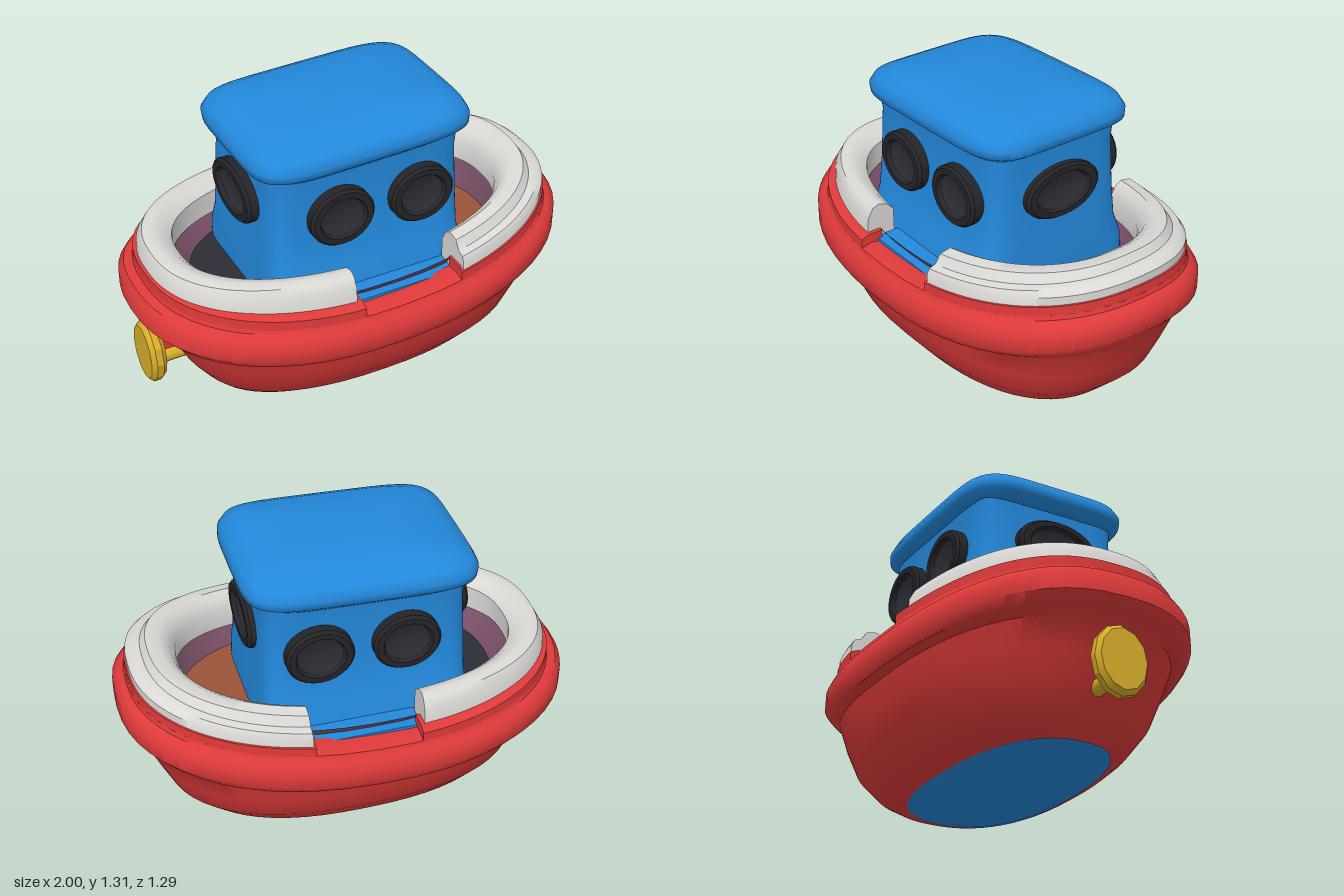
import * as THREE from 'three';
import { toCreasedNormals } from 'three/addons/utils/BufferGeometryUtils.js';

const mat = (name, color, side = THREE.FrontSide) => {
  const m = new THREE.MeshStandardMaterial({ color, side });
  m.name = name;
  return m;
};

// Lofts superellipse rings [back, front, halfWidth, y, sheer]. With an arc, only the
// bow (end 1) or stern (end -1) part beyond |x| = xEnd is built.
function loft(rings, { n = 2.4, segs = 56, end = 0, xEnd = 0, closed = false, crease = 0.7 } = {}) {
  const pos = [], idx = [], R = rings.length;
  for (const [back, front, half, y, sheer = 0] of rings) {
    const reach = end > 0 ? front : back;
    const span = end ? Math.acos(Math.pow(xEnd / (reach || 1), n / 2)) : Math.PI;
    const mid = end < 0 ? Math.PI : 0;
    for (let j = 0; j <= segs; j++) {
      const t = mid + span * (2 * j / segs - 1);
      const c = Math.cos(t), s = Math.sin(t);
      const x = Math.sign(c) * Math.pow(Math.abs(c), 2 / n) * (c > 0 ? front : back);
      const z = Math.sign(s) * Math.pow(Math.abs(s), 2 / n) * half;
      pos.push(x, y + sheer * (0.1 * x * x + 0.04 * x), z);
    }
  }
  const at = (i, j) => (i % R) * (segs + 1) + j;
  for (let i = 0; i < (closed ? R : R - 1); i++) {
    for (let j = 0; j < segs; j++) {
      const a = at(i, j), b = at(i, j + 1), c = at(i + 1, j + 1), d = at(i + 1, j);
      idx.push(a, d, b, b, d, c);
    }
  }
  // Flat ends of a closed arc
  if (closed) {
    for (let i = 1; i < R - 1; i++) {
      idx.push(at(0, 0), at(i + 1, 0), at(i, 0));
      idx.push(at(0, segs), at(i, segs), at(i + 1, segs));
    }
  }
  const g = new THREE.BufferGeometry();
  g.setAttribute('position', new THREE.Float32BufferAttribute(pos, 3));
  g.setIndex(idx);
  return toCreasedNormals(g, crease);
}

export function createModel() {
  const boat = new THREE.Group();
  boat.name = 'tugboat';
  const red = mat('hull red', 0xdf3a3a);
  const blue = mat('cabin blue', 0x2389dc);
  const white = mat('bulwark white', 0xdad9d6);
  const glass = mat('window dark grey', 0x2d2d35);
  const rim = mat('window rim black', 0x252529);
  const yellow = mat('propeller yellow', 0xd9ae2a);
  const brown = mat('deck brown', 0x9c5439, THREE.DoubleSide);
  const mauve = mat('inner wall mauve', 0x7a5068, THREE.DoubleSide);
  const add = (name, geometry, material, x = 0, y = 0, z = 0, parent = boat) => {
    const mesh = new THREE.Mesh(geometry, material);
    mesh.name = name;
    mesh.position.set(x, y, z);
    parent.add(mesh);
    return mesh;
  };

  // Hull with its bulging rub rail and inward rim
  add('hull', loft([
    [0.64, 0.5, 0.3, 0.012], [0.67, 0.6, 0.36, 0.04], [0.72, 0.71, 0.43, 0.1],
    [0.79, 0.81, 0.51, 0.2], [0.84, 0.87, 0.555, 0.31, 0.2], [0.9, 0.93, 0.58, 0.4, 0.6],
    [0.965, 0.965, 0.625, 0.41, 0.9], [1, 1, 0.647, 0.445, 0.9], [1, 1, 0.645, 0.51, 1],
    [0.975, 0.975, 0.627, 0.55, 1], [0.935, 0.95, 0.612, 0.565, 1], [0.93, 0.945, 0.605, 0.585, 1],
    [0.88, 0.9, 0.56, 0.597, 1], [0.8, 0.78, 0.5, 0.59, 1],
  ]), red);
  add('bottom', loft([[0, 0, 0, 0], [0.61, 0.44, 0.27, 0], [0.66, 0.52, 0.315, 0.017]]), blue);

  // Sunken deck
  add('innerWall', loft([[0.8, 0.76, 0.5, 0.64, 0.6], [0.69, 0.71, 0.42, 0.52]]), mauve);
  add('bowDeck', loft([[0.7, 0.71, 0.42, 0.52], [0, 0, 0, 0.52]], { end: 1 }), brown);
  add('sternDeck', loft([[0.69, 0.7, 0.42, 0.52], [0, 0, 0, 0.52]], { end: -1 }), glass);
  add('boardingSill', new THREE.BoxGeometry(0.5, 0.1, 1.03), blue, 0.04, 0.552);

  // Red coamings under the white bulwarks, bow and stern
  const coaming = [
    [0.93, 0.945, 0.606, 0.55, 1], [0.93, 0.942, 0.604, 0.625, 1], [0.89, 0.9, 0.57, 0.64, 1],
    [0.8, 0.8, 0.5, 0.64, 1], [0.8, 0.8, 0.5, 0.55, 1],
  ];
  add('bowCoaming', loft(coaming, { end: 1, xEnd: 0.27, closed: true }), red);
  add('sternCoaming', loft(coaming, { end: -1, xEnd: 0.19, closed: true }), red);
  add('bowBulwark', loft([
    [0, 0.935, 0.6, 0.57, 1], [0, 0.935, 0.597, 0.665, 1], [0, 0.91, 0.585, 0.69, 1],
    [0, 0.87, 0.555, 0.7, 1], [0, 0.845, 0.53, 0.74, 1], [0, 0.79, 0.48, 0.75, 1],
    [0, 0.75, 0.45, 0.73, 1], [0, 0.72, 0.425, 0.68, 1], [0, 0.72, 0.425, 0.59, 1],
  ], { end: 1, xEnd: 0.28, closed: true }), white);
  add('sternBulwark', loft([
    [0.92, 0, 0.565, 0.6, 0.2], [0.915, 0, 0.555, 0.7, 0.2], [0.89, 0, 0.53, 0.745, 0.2],
    [0.85, 0, 0.5, 0.757, 0.2], [0.8, 0, 0.46, 0.745, 0.2], [0.765, 0, 0.425, 0.71, 0.2],
    [0.765, 0, 0.425, 0.6, 0.2],
  ], { end: -1, xEnd: 0.21, closed: true }), white);

  // Cabin and its slightly tilted, domed roof
  add('cabin', loft([
    [0.46, 0.46, 0.41, 0.5], [0.46, 0.46, 0.4, 0.6], [0.455, 0.455, 0.36, 0.7],
    [0.45, 0.45, 0.345, 0.85], [0.44, 0.44, 0.335, 1.08], [0.445, 0.445, 0.345, 1.18],
  ], { n: 8 }), blue, -0.03);
  const roof = add('roof', loft([
    [0, 0, 0, 1.15], [0.46, 0.46, 0.35, 1.15], [0.505, 0.505, 0.385, 1.18],
    [0.508, 0.505, 0.39, 1.215], [0.485, 0.485, 0.37, 1.255], [0.42, 0.43, 0.31, 1.285],
    [0.25, 0.25, 0.18, 1.305], [0, 0, 0, 1.31],
  ], { n: 5.5, crease: 1 }), blue, 0.012);
  roof.rotation.z = 0.033;

  // Portholes: raised rim around a recessed pane
  const turned = pts => toCreasedNormals(
    new THREE.LatheGeometry(pts.map(p => new THREE.Vector2(...p)), 28).rotateX(Math.PI / 2), 0.6);
  const rimGeo = turned([[0.15, -0.05], [0.152, 0.035], [0.14, 0.048], [0.112, 0.048], [0.1, 0.025]]);
  const paneGeo = turned([[0.104, 0.03], [0.09, 0.022], [0, 0.018]]);
  const porthole = (name, x, y, z, turn, sx, sy) => {
    const g = new THREE.Group();
    g.name = name;
    add('rim', rimGeo, rim, 0, 0, 0, g);
    add('pane', paneGeo, glass, 0, 0, 0, g);
    g.position.set(x, y, z);
    g.rotation.y = turn;
    g.scale.set(sx, sy, 1);
    boat.add(g);
  };
  for (const side of [1, -1]) {
    for (const x of [-0.185, 0.19]) {
      porthole('sidePorthole', x, 0.94, side * 0.343, side > 0 ? 0 : Math.PI, 0.97, 0.87);
    }
  }
  porthole('bowWindow', 0.4, 0.95, 0, Math.PI / 2, 1.27, 0.8);
  porthole('sternWindow', -0.475, 0.95, 0, -Math.PI / 2, 1.27, 0.8);

  // Propeller disc, shaft and bracket at the stern
  const disc = new THREE.LatheGeometry(
    [[0, -0.035], [0.13, -0.035], [0.15, -0.015], [0.15, 0.015], [0.13, 0.035], [0, 0.035]]
      .map(p => new THREE.Vector2(...p)), 12).rotateZ(Math.PI / 2);
  const propeller = add('propeller', toCreasedNormals(disc, 0.5), yellow, -0.93, 0.25, 0);
  propeller.scale.z = 0.82;
  add('propellerShaft', new THREE.CylinderGeometry(0.035, 0.035, 0.2, 12).rotateZ(Math.PI / 2),
    yellow, -0.82, 0.2, 0);
  add('propellerBracket', new THREE.BoxGeometry(0.12, 0.13, 0.07), red, -0.85, 0.32, 0);

  return boat;
}
